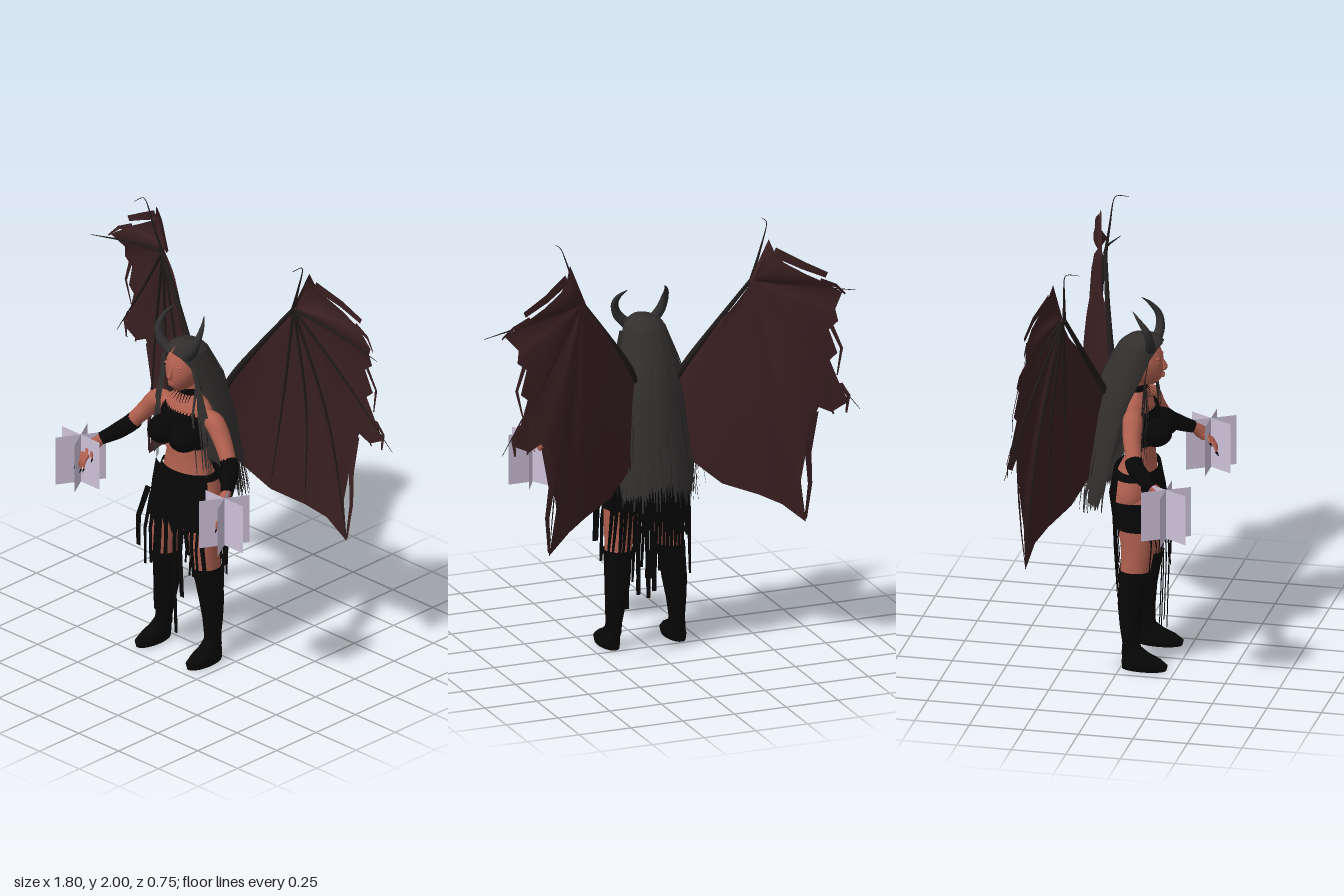
import * as THREE from 'three';
import { mergeGeometries, mergeVertices } from 'three/addons/utils/BufferGeometryUtils.js';

const V = (p) => new THREE.Vector3(...p);
const mat = (name, color, side = THREE.FrontSide) => {
  const m = new THREE.MeshStandardMaterial({ color, side });
  m.name = name;
  return m;
};

export function createModel() {
  const skin = mat('skin', 0xb0604f), lip = mat('lips', 0x9c5246);
  const cloth = mat('blackCloth', 0x070707, THREE.DoubleSide);
  const hair = mat('hair', 0x332f2f, THREE.DoubleSide), horn = mat('horn', 0x302e2f);
  const membrane = mat('wingMembrane', 0x3a2022, THREE.DoubleSide), bone = mat('wingBone', 0x211b1b);
  const panel = mat('palePanel', 0xcdc1d8, THREE.DoubleSide);

  const model = new THREE.Group();
  let seed = 7;
  const rnd = (a = 0, b = 1) => {
    seed = (seed * 16807) % 2147483647;
    return a + (b - a) * (seed / 2147483647);
  };
  const add = (name, geo, m, parent = model) => {
    const mesh = new THREE.Mesh(geo, m);
    mesh.name = name;
    parent.add(mesh);
  };
  const surface = (pos, idx) => {
    let g = new THREE.BufferGeometry();
    g.setAttribute('position', new THREE.Float32BufferAttribute(pos, 3));
    g.setIndex(idx);
    g = mergeVertices(g, 1e-5);
    g.computeVertexNormals();
    return g;
  };
  const gridIndex = (rows, cols) => {
    const idx = [];
    for (let r = 0; r < rows; r++) for (let c = 0; c < cols; c++) {
      const a = r * (cols + 1) + c, d = a + cols + 1;
      idx.push(a, a + 1, d + 1, a, d + 1, d);
    }
    return idx;
  };
  // Stacked elliptical rings: [y, centre x, half width, front z, back z, half opening angle]
  const loft = (sections, { seg = 28, turn = 0, ridge = 0, jag = 0 } = {}) => {
    const pos = [];
    [...sections].sort((a, b) => a[0] - b[0]).forEach(([y, cx, rx, zf, zb, open = 0], row) => {
      for (let i = 0; i <= seg; i++) {
        const a = turn + open + (2 * Math.PI - 2 * open) * i / seg, k = i % 2 ? 1 + ridge : 1;
        pos.push(cx + rx * k * Math.sin(a), y - (row ? 0 : (i % 2) * jag),
          (zf + zb) / 2 + (zf - zb) / 2 * k * Math.cos(a));
      }
    });
    return surface(pos, gridIndex(sections.length - 1, seg));
  };
  // Round tube whose radius follows a list of values
  const taper = (points, radii, n = 16, sides = 10) => {
    const curve = new THREE.CatmullRomCurve3(points.map(V));
    const g = new THREE.TubeGeometry(curve, n, 1, sides), p = g.attributes.position, v = new THREE.Vector3();
    for (let i = 0; i <= n; i++) {
      const c = curve.getPointAt(i / n), t = i / n * (radii.length - 1), k = Math.min(Math.floor(t), radii.length - 2);
      const r = THREE.MathUtils.lerp(radii[k], radii[k + 1], t - k);
      for (let j = 0; j <= sides; j++) {
        const q = i * (sides + 1) + j;
        v.fromBufferAttribute(p, q).sub(c).multiplyScalar(r).add(c);
        p.setXYZ(q, v.x, v.y, v.z);
      }
    }
    return g;
  };
  // Flat strip narrowing toward its end
  const ribbon = (points, w, dir = [1, 0, 0], end = 0.3) => {
    const pos = [];
    points.forEach((p, i) => {
      const h = w / 2 * (1 - (1 - end) * i / (points.length - 1));
      for (const s of [-1, 1]) pos.push(...p.map((q, k) => q + s * h * dir[k]));
    });
    return surface(pos, gridIndex(points.length - 1, 1));
  };
  const ball = (c, r) => new THREE.SphereGeometry(1, 20, 14).scale(...r).translate(...c);

  // Torso and neck
  add('torso', loft([[0.69, 0, 0.05, 0.07, 0], [0.73, 0, 0.14, 0.11, -0.05], [0.77, 0, 0.165, 0.13, -0.068],
    [0.83, 0, 0.163, 0.14, -0.07], [0.9, 0, 0.138, 0.128, -0.045], [0.97, 0, 0.114, 0.122, -0.01],
    [1.04, 0, 0.111, 0.125, 0], [1.1, 0, 0.122, 0.13, -0.01], [1.18, 0, 0.135, 0.12, -0.02],
    [1.225, 0, 0.13, 0.1, -0.02], [1.25, 0, 0.1, 0.085, -0.015], [1.275, 0, 0.055, 0.075, -0.002],
    [1.3, 0, 0.043, 0.07, 0], [1.37, 0, 0.042, 0.09, 0.005]]), skin);

  // Head: sphere narrowed to the jaw, with facial features
  const head = new THREE.SphereGeometry(1, 28, 22), hp = head.attributes.position;
  for (let i = 0; i < hp.count; i++) {
    const y = hp.getY(i), low = Math.max(0, -y), z = hp.getZ(i);
    hp.setXYZ(i, hp.getX(i) * 0.083 * (1 - 0.28 * low), 1.42 + y * 0.113, 0.07 + z * 0.09 + low * 0.022 * (z > 0 ? 1 : 0));
  }
  head.computeVertexNormals();
  add('head', head, skin);
  add('nose', taper([[0, 1.44, 0.15], [0, 1.41, 0.163], [0, 1.394, 0.167], [0, 1.385, 0.155]], [0.006, 0.01, 0.014, 0.006]), skin);
  add('upperLip', ball([0, 1.363, 0.16], [0.02, 0.005, 0.007]), lip);
  add('lowerLip', ball([0, 1.354, 0.159], [0.017, 0.006, 0.007]), lip);
  for (const s of [-1, 1]) {
    add('eyelid', ball([s * 0.034, 1.428, 0.142], [0.016, 0.007, 0.01]), skin);
    add('brow', ball([s * 0.034, 1.447, 0.144], [0.022, 0.005, 0.009]), skin);
  }

  // Bandeau, choker with tassels
  add('bandeau', loft([[1.04, 0, 0.118, 0.135, -0.01], [1.1, 0, 0.132, 0.15, -0.02], [1.17, 0, 0.143, 0.138, -0.028],
    [1.205, 0, 0.139, 0.124, -0.027]]), cloth);
  add('choker', loft([[1.282, 0, 0.056, 0.084, -0.01], [1.312, 0, 0.05, 0.083, -0.005]]), cloth);
  const trim = [];
  for (let i = -3; i <= 3; i++) trim.push(ribbon([[i * 0.014, 1.29, 0.087 - Math.abs(i) * 0.005],
    [i * 0.018, 1.245 + Math.abs(i) * 0.006, 0.108]], 0.007));
  for (let i = -8; i <= 8; i++) trim.push(ribbon([[i * 0.015, 1.195, 0.14 - i * i * 0.0009],
    [i * 0.015, 1.218, 0.13 - i * i * 0.0009]], 0.014));
  add('laceTrim', mergeGeometries(trim), cloth);

  // Hip strap, front and back skirt panels
  add('hipStrap', loft([[0.885, 0, 0.157, 0.145, -0.066], [0.918, 0, 0.142, 0.138, -0.045]]), cloth);
  const skirt = (o) => [[0.68, 0, 0.205, 0.175, -0.055, o], [0.8, 0, 0.2, 0.165, -0.08, o], [0.915, 0, 0.185, 0.142, -0.06, o]];
  add('frontSkirt', loft(skirt(Math.PI - 1.05), { turn: Math.PI, seg: 20, jag: 0.06 }), cloth);
  add('backSkirt', loft(skirt(Math.PI - 1.05), { seg: 20, jag: 0.06 }), cloth);

  // Hanging skirt strips: [x, lowest y, width]
  const strips = [];
  for (const [x, y, w] of [[-0.22, 0.47, 0.034], [-0.165, 0.4, 0.022], [-0.125, 0.42, 0.024], [-0.092, 0.2, 0.028],
    [-0.065, 0.17, 0.026], [-0.018, 0.19, 0.026], [0.04, 0.13, 0.026], [0.075, 0.32, 0.034], [0.11, 0.54, 0.034],
    [0.142, 0.44, 0.026], [0.17, 0.38, 0.02], [0.2, 0.48, 0.036]]) {
    const z = 0.178 - x * x * 0.5;
    strips.push(ribbon([[x * 0.88, 0.76, z - 0.008 - x * x * 0.8], [x * 0.95, (0.78 + y) / 2, z], [x, y, z - 0.01]], w, [1, 0, 0], 0.75));
  }
  for (let i = 0; i < 20; i++) {
    const x = -0.2 + i * 0.021, z = -0.065 + x * x * 1.2, y = rnd(0.18, 0.4) + Math.abs(x) * 0.7;
    strips.push(ribbon([[x * 0.9, 0.76, z], [x * 0.95, (0.76 + y) / 2, z + 0.01], [x, y, z + 0.025]], 0.024, [1, 0, 0], 0.45));
  }
  add('skirtStrips', mergeGeometries(strips), cloth);

  // Limbs, horns and wings are built for +x and mirrored
  for (const s of [1, -1]) {
    const side = new THREE.Group();
    side.name = s > 0 ? 'leftSide' : 'rightSide';
    side.scale.x = s;
    model.add(side);
    const put = (name, geo, m) => add(name, geo, m, side);

    // Leg, garter, boot and foot
    put('thigh', loft([[0.8, 0.085, 0.07, 0.12, -0.06], [0.74, 0.092, 0.088, 0.15, -0.05], [0.67, 0.1, 0.086, 0.156, -0.03],
      [0.58, 0.11, 0.075, 0.15, -0.008], [0.5, 0.122, 0.062, 0.135, -0.005], [0.44, 0.128, 0.058, 0.125, -0.008]]), skin);
    put('garter', loft([[0.66, 0.102, 0.092, 0.163, -0.032], [0.72, 0.095, 0.096, 0.162, -0.045], [0.79, 0.088, 0.09, 0.15, -0.062]]), cloth);
    put('boot', loft([[0.07, 0.155, 0.036, 0.1, 0.005], [0.12, 0.152, 0.037, 0.088, 0.008], [0.2, 0.147, 0.045, 0.09, -0.005],
      [0.3, 0.138, 0.057, 0.1, -0.016], [0.38, 0.132, 0.06, 0.115, -0.014], [0.43, 0.129, 0.063, 0.128, -0.012],
      [0.465, 0.126, 0.066, 0.135, -0.01]]), cloth);
    put('foot', loft([[0, 0.16, 0.001, 0.11, 0.1], [0.001, 0.16, 0.044, 0.21, 0.008], [0.025, 0.16, 0.049, 0.217, 0.006],
      [0.05, 0.158, 0.043, 0.185, 0.006], [0.075, 0.156, 0.037, 0.13, 0.006], [0.1, 0.154, 0.035, 0.095, 0.008]]), cloth);

    // Breast cup, arm, glove and hand
    put('bandeauCup', ball([0.066, 1.105, 0.138], [0.072, 0.066, 0.078]), cloth);
    put('arm', taper([[0.1, 1.19, 0.045], [0.175, 1.19, 0.06], [0.24, 1.12, 0.072], [0.31, 1.035, 0.1]],
      [0.036, 0.046, 0.043, 0.038, 0.034], 18, 14), skin);
    put('glove', taper([[0.293, 1.052, 0.09], [0.318, 1.025, 0.105], [0.355, 0.99, 0.155], [0.395, 0.962, 0.205]],
      [0.04, 0.039, 0.038, 0.033, 0.028], 14, 14), cloth);
    put('palm', taper([[0.385, 0.972, 0.195], [0.405, 0.94, 0.235], [0.417, 0.905, 0.265], [0.42, 0.89, 0.275]],
      [0.022, 0.025, 0.03, 0.026, 0.002]), skin);
    for (let i = 0; i < 5; i++) {
      const a = i ? [0.397 + i * 0.01, 0.905, 0.265] : [0.395, 0.935, 0.24];
      const tip = i ? [0.38 + i * 0.018, 0.835 + Math.abs(i - 2.5) * 0.008, 0.31] : [0.365, 0.9, 0.29];
      const mid = [(a[0] + tip[0]) / 2, (a[1] + tip[1]) / 2, (a[2] + tip[2]) / 2 + 0.015];
      put('finger', taper([a, mid, tip], [0.01, 0.009, 0.007, 0.003], 8, 7), skin);
      put('nail', taper([tip, [tip[0], tip[1] - 0.01, tip[2] + 0.005], [tip[0], tip[1] - 0.018, tip[2] + 0.01]],
        [0.004, 0.003, 0], 4, 6), cloth);
    }

    // Horn
    put('horn', taper([[0.062, 1.5, 0.115], [0.104, 1.545, 0.122], [0.121, 1.6, 0.112], [0.113, 1.65, 0.075], [0.09, 1.685, 0.04]],
      [0.025, 0.022, 0.017, 0.01, 0.001], 24, 12), horn);

    // Crossed panels around the hand
    for (let i = 0; i < 3; i++) {
      put('handPanel', new THREE.PlaneGeometry(0.235, 0.235).rotateY(i * Math.PI / 3).translate(0.45, 0.87, 0.276), panel);
    }

    // Wing membrane: fan from the wrist to a ragged edge, sagging between
    const W = [0.41, 1.745, -0.215], rim = [[0.395, 1.74, -0.21], [0.48, 1.937, -0.235], [0.505, 1.87, -0.255], [0.54, 1.83, -0.275],
      [0.63, 1.775, -0.3], [0.72, 1.725, -0.305], [0.815, 1.66, -0.285], [0.765, 1.6, -0.325], [0.775, 1.545, -0.335],
      [0.73, 1.51, -0.335], [0.765, 1.4, -0.35], [0.73, 1.37, -0.345], [0.77, 1.26, -0.36], [0.81, 1.17, -0.37],
      [0.73, 1.13, -0.365], [0.67, 1.16, -0.36], [0.64, 1.1, -0.36], [0.605, 0.92, -0.355], [0.587, 0.8, -0.345],
      [0.62, 0.615, -0.33], [0.515, 0.705, -0.31], [0.42, 0.75, -0.27], [0.27, 0.8, -0.2], [0.13, 0.92, -0.13],
      [0.09, 1.1, -0.09], [0.11, 1.31, -0.09], [0.25, 1.53, -0.15]];
    const pos = [], rings = 8;
    for (let r = 0; r <= rings; r++) for (const p of rim) {
      const t = r / rings;
      pos.push(...p.map((q, k) => W[k] + (q - W[k]) * t - (k === 2 ? 0.02 * Math.sin(Math.PI * t) : 0)));
    }
    put('wingMembrane', surface(pos, gridIndex(rings, rim.length - 1)), membrane);
    put('wingTatters', mergeGeometries([
      ribbon([[0.5, 1.88, -0.25], [0.62, 1.815, -0.295], [0.73, 1.76, -0.31]], 0.045, [0.4, 0.9, 0], 0.6),
      ribbon([[0.7, 1.735, -0.305], [0.78, 1.7, -0.3], [0.83, 1.65, -0.285]], 0.025, [0.4, 0.9, 0]),
      ribbon([[0.74, 1.53, -0.335], [0.785, 1.42, -0.35], [0.76, 1.3, -0.36]], 0.022),
      ribbon([[0.77, 1.26, -0.36], [0.81, 1.2, -0.37], [0.8, 1.12, -0.37]], 0.03),
      ribbon([[0.725, 1.3, -0.355], [0.71, 1.21, -0.36], [0.74, 1.12, -0.365]], 0.03),
      ribbon([[0.65, 1.14, -0.36], [0.62, 0.95, -0.36], [0.635, 0.8, -0.345], [0.62, 0.63, -0.33]], 0.04)]), membrane);

    // Wing arm and finger bones
    put('wingArm', taper([[0.08, 1.24, -0.06], [0.135, 1.36, -0.105], [0.25, 1.53, -0.15], [0.41, 1.745, -0.2]],
      [0.016, 0.015, 0.011, 0.009]), bone);
    put('wingClaw', taper([[0.41, 1.745, -0.2], [0.455, 1.87, -0.19], [0.493, 1.985, -0.178], [0.497, 1.998, -0.165], [0.497, 1.998, -0.11]],
      [0.009, 0.006, 0.004, 0.002, 0.001], 28, 6), bone);
    for (const [mid, tip] of [[[0.63, 1.7, -0.24], [0.898, 1.645, -0.24]], [[0.62, 1.46, -0.295], [0.865, 1.13, -0.372]],
      [[0.545, 1.2, -0.29], [0.62, 0.62, -0.33]], [[0.44, 1.25, -0.255], [0.42, 0.76, -0.268]], [[0.34, 1.3, -0.215], [0.27, 0.81, -0.2]]]) {
      put('wingFinger', taper([[0.41, 1.745, -0.205], mid, tip], [0.007, 0.006, 0.004, 0.001], 16, 6), bone);
    }
  }

  // Hair: ridged curtain open at the face
  const hairRows = [[1.55, 0, 0.005, 0.07, 0.06, 0], [1.542, 0, 0.05, 0.13, 0.01, 0], [1.515, 0, 0.083, 0.158, -0.025, 0.05],
    [1.495, 0, 0.09, 0.158, -0.04, 0.55], [1.45, 0, 0.1, 0.155, -0.065, 0.88], [1.36, 0, 0.122, 0.135, -0.1, 1.02],
    [1.25, 0, 0.15, 0.1, -0.12, 1.2], [1.1, 0, 0.168, 0.08, -0.135, 1.42], [0.95, 0, 0.178, 0.07, -0.155, 1.6],
    [0.82, 0, 0.165, 0.03, -0.175, 1.85]];
  add('hairCurtain', loft(hairRows, { seg: 64, ridge: 0.05, jag: 0.08 }), hair);

  // Loose strands following the curtain
  const hairAt = (a, y, out) => {
    let k = 0;
    while (k < hairRows.length - 2 && hairRows[k + 1][0] > y) k++;
    const A = hairRows[k], B = hairRows[k + 1], t = (A[0] - y) / (A[0] - B[0]);
    const [rx, zf, zb] = [2, 3, 4].map((i) => A[i] + (B[i] - A[i]) * Math.min(t, 1.2));
    return [(rx + out) * Math.sin(a), y, (zf + zb) / 2 + ((zf - zb) / 2 + out) * Math.cos(a)];
  };
  const strands = [];
  for (let i = 0; i < 90; i++) {
    const a = 1.6 + (2 * Math.PI - 3.2) * (i + rnd()) / 90, end = rnd(0.7, 0.9), out = rnd(0.005, 0.075) * (i % 3 ? 0.6 : 1);
    const path = [1.5, 1.36, 1.2, 1.0, end + 0.08, end].map((y, j) => hairAt(a, y, 0.006 + out * j / 5));
    strands.push(ribbon(path, 0.026, [Math.cos(a), 0, -Math.sin(a)], 0.15));
  }
  for (let i = 0; i < 26; i++) {
    const s = i % 2 ? 1 : -1, x = rnd(0.11, 0.178), z = 0.15 - x * 0.5;
    strands.push(ribbon([[s * 0.086, 1.47, 0.115], [s * (0.075 + x * 0.25), 1.36, 0.1], [s * x * 0.92, 1.22, z + 0.03],
      [s * x, 1.1, z + 0.025], [s * (x + 0.01), rnd(0.92, 1.04), z + 0.02]], 0.022, [1, 0, 0], 0.2));
  }
  add('hairStrands', mergeGeometries(strands), hair);
  return model;
}
